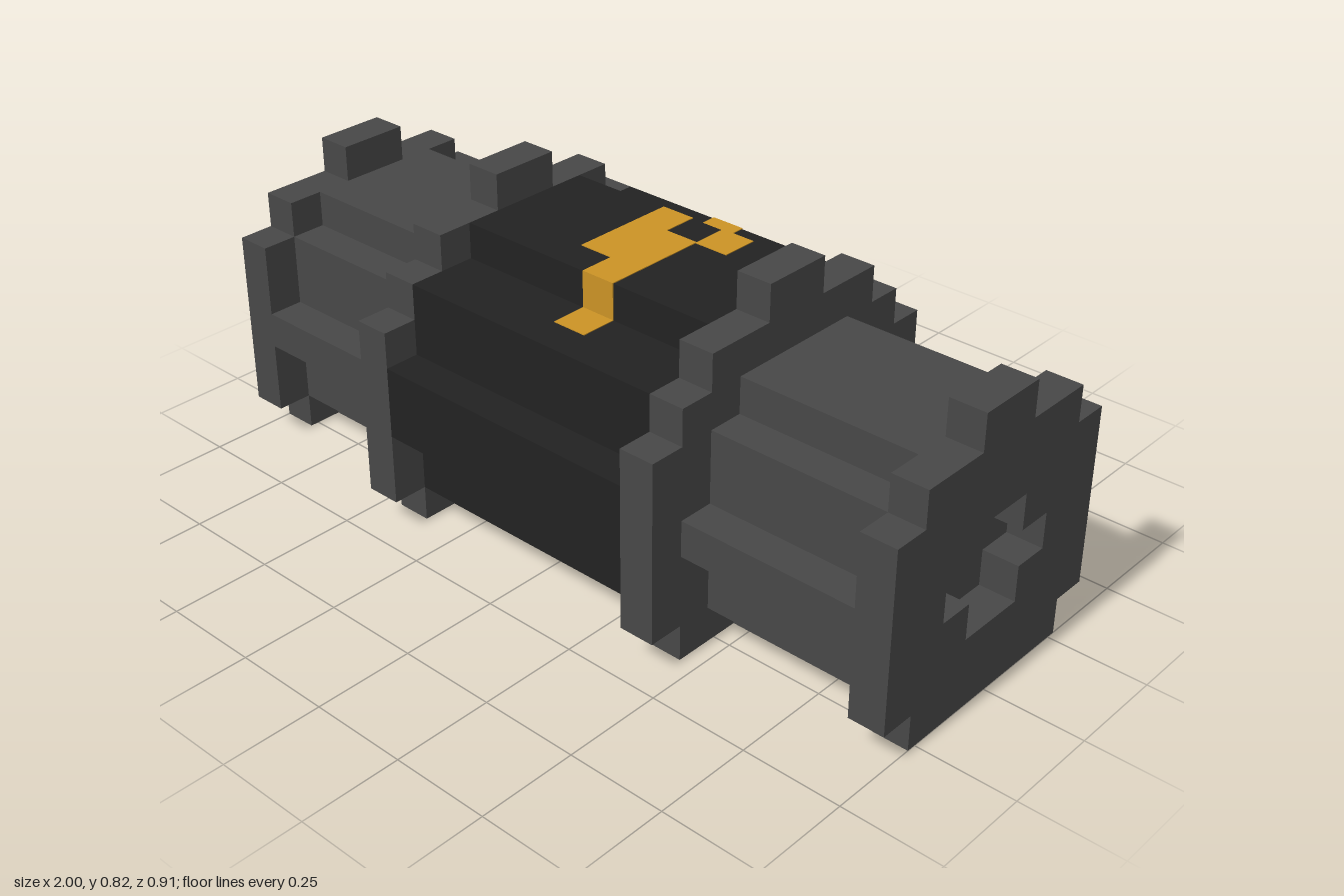
import * as THREE from 'three';

const U = 1 / 11; // one grid block

const grey = new THREE.MeshStandardMaterial({ color: 0x474747 });
grey.name = 'dark grey';
const black = new THREE.MeshStandardMaterial({ color: 0x222222 });
black.name = 'near black';
const gold = new THREE.MeshStandardMaterial({ color: 0xcb9325 });
gold.name = 'gold';

// Stepped outline, mirrored left to right, from rows of [bottom, top, half width]
function outline(rows, PathType = THREE.Shape) {
  const right = rows.flatMap(([y0, y1, w]) => [[w, y0], [w, y1]]);
  const left = right.map(([w, y]) => [-w, y]).reverse();
  return new PathType([...right, ...left].map(([w, y]) => new THREE.Vector2(w * U, y * U)));
}

// Stepped section running along x from x0 to x1
function section(name, rows, x0, x1, material, holeRows) {
  const shape = outline(rows);
  if (holeRows) shape.holes.push(outline(holeRows, THREE.Path));
  const geometry = new THREE.ExtrudeGeometry(shape, { depth: (x1 - x0) * U, bevelEnabled: false });
  geometry.rotateY(Math.PI / 2);
  geometry.translate(x0 * U, 0, 0);
  const mesh = new THREE.Mesh(geometry, material);
  mesh.name = name;
  return mesh;
}

const BODY = [[0, 1, 3], [1, 3, 4], [3, 5, 5], [5, 7, 4], [7, 8, 2]];
const RING = [[0, 1, 4], [1, 6, 5], [6, 7, 4], [7, 8, 3], [8, 9, 1]];
const ARM = [[0, 1, 2], [1, 3, 3], [3, 4, 4], [4, 6, 3], [6, 7, 2]];
const CAP = [[0, 1, 3], [1, 6, 4], [6, 7, 3], [7, 8, 1]];
const CROSS = [[2, 3, 1], [3, 4, 2], [4, 5, 1]];

// Gold inlay blocks: [x, bottom y, z start, z end]
const INLAY = [
  [-1, 7, -2, 1], [0, 7, -1, 2], [1, 7, -2, -1], // top
  [-1, 6, -4, -2], [0, 6, -3, -2], [0, 6, 2, 3], // lower steps
];

export function createModel() {
  const model = new THREE.Group();
  model.name = 'canister';
  model.add(section('body', BODY, -4, 4, black));

  // Rings, arms and end caps on both sides
  for (const [side, s] of [['left', 1], ['right', -1]]) {
    const add = (part, rows, a, b, hole) =>
      model.add(section(side + part, rows, Math.min(s * a, s * b), Math.max(s * a, s * b), grey, hole));
    add('Ring', RING, 4, 5);
    add('Arm', ARM, 5, 10);
    add('EndCap', CAP, 10, 11, CROSS);
  }

  // Inlay blocks stand just proud of the body
  const inlay = new THREE.Group();
  inlay.name = 'goldInlay';
  const proud = 0.004;
  for (const [x, y, z0, z1] of INLAY) {
    const block = new THREE.Mesh(new THREE.BoxGeometry(U, U + proud, (z1 - z0) * U + proud), gold);
    block.position.set((x + 0.5) * U, (y + 0.5) * U, ((z0 + z1) / 2) * U);
    block.name = 'inlayBlock';
    inlay.add(block);
  }
  model.add(inlay);
  return model;
}
